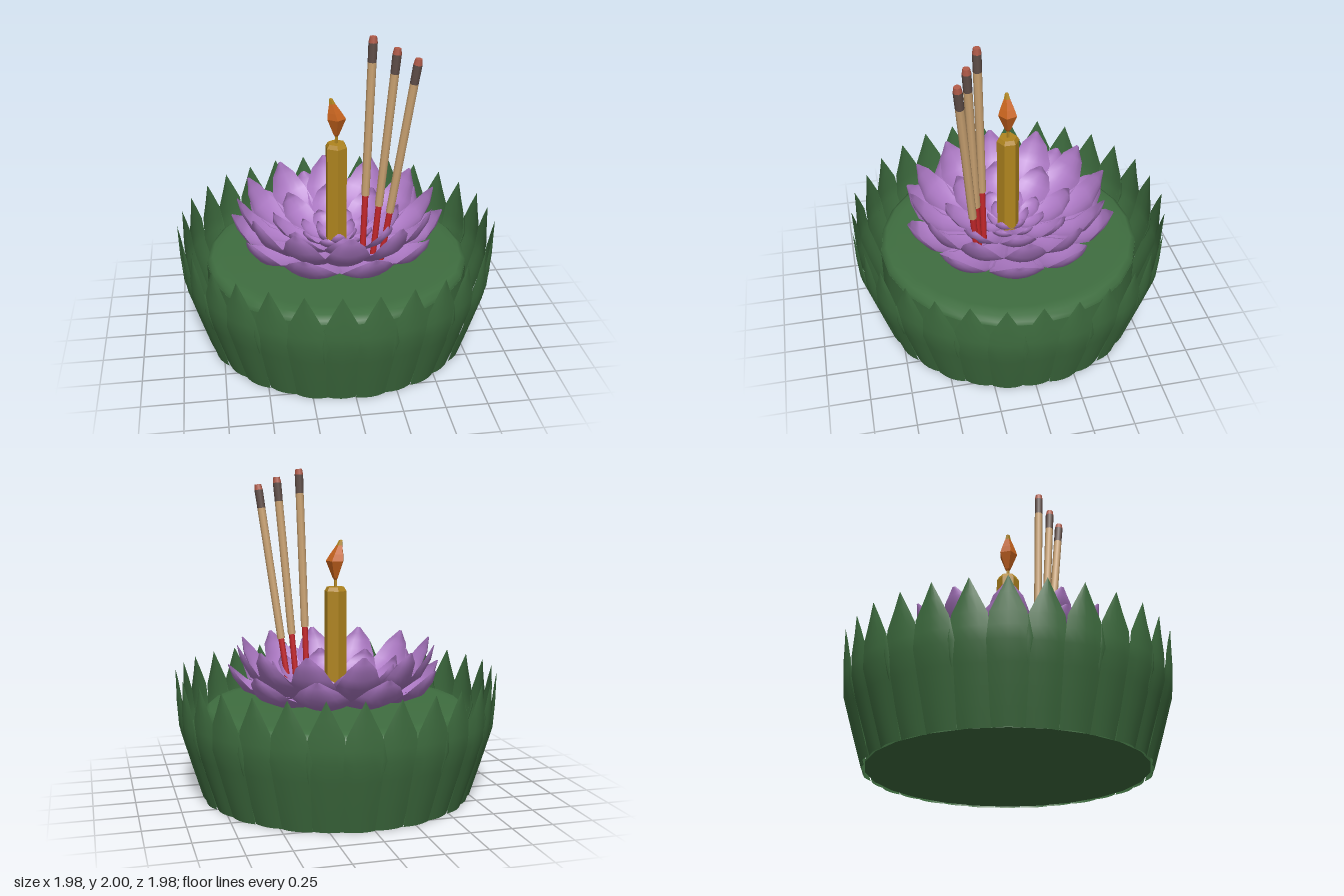
import * as THREE from 'three';

const mat = (name, color, side = THREE.FrontSide, flatShading = false) => {
  const m = new THREE.MeshStandardMaterial({ color, side, flatShading });
  m.name = name;
  return m;
};

// Grid surface from a rule: t runs along the length, s runs -1..1 across.
function sheet(rows, cols, rule) {
  const pos = [], idx = [];
  for (let i = 0; i <= rows; i++)
    for (let j = 0; j <= cols; j++) pos.push(...rule(i / rows, (j / cols) * 2 - 1));
  for (let i = 0; i < rows; i++)
    for (let j = 0; j < cols; j++) {
      const a = i * (cols + 1) + j, b = a + cols + 1;
      idx.push(a, a + 1, b, a + 1, b + 1, b);
    }
  const g = new THREE.BufferGeometry();
  g.setAttribute('position', new THREE.Float32BufferAttribute(pos, 3));
  g.setIndex(idx);
  g.computeVertexNormals();
  return g;
}

// Linear lookup in a short list of [y, radius, halfWidth] stations.
function station(list, t) {
  const f = t * (list.length - 1), i = Math.min(Math.floor(f), list.length - 2);
  return list[i].map((v, k) => v + (list[i + 1][k] - v) * (f - i));
}

export function createModel() {
  const model = new THREE.Group();
  model.name = 'floatingFlowerBasket';
  const green = mat('leaf green', 0x3f6e40, THREE.DoubleSide);
  const purple = mat('petal purple', 0xae7ac6, THREE.DoubleSide);
  const gold = mat('candle gold', 0xb0851f, THREE.FrontSide, true);
  const orange = mat('flame orange', 0xc8641e, THREE.FrontSide, true);
  const tan = mat('incense tan', 0xcda574);
  const red = mat('stick red', 0xc8282c);
  const char = mat('incense char', 0x62504a);
  const ember = mat('ember', 0xb05a48);

  const add = (name, geo, material, parent = model) => {
    const m = new THREE.Mesh(geo, material);
    m.name = name;
    parent.add(m);
    return m;
  };
  const V2 = (x, y) => new THREE.Vector2(x, y);
  const deg = Math.PI / 180;

  // Drum with a softly rounded top
  add('base', new THREE.CylinderGeometry(0.825, 0.825, 0.49, 24), green).position.y = 0.255;
  add('baseTop', new THREE.LatheGeometry(
    [V2(0.825, 0.49), V2(0.82, 0.525), V2(0.79, 0.548), V2(0.72, 0.556), V2(0, 0.56)], 24), green);

  // Ring of pointed leaves
  const leafRows = [[0.005, 0.848, 0.087], [0.21, 0.912, 0.1], [0.43, 0.978, 0.113],
    [0.58, 0.99, 0.098], [0.78, 0.995, 0]];
  const leafGeo = sheet(8, 4, (t, s) => {
    const [y, r, w] = station(leafRows, t);
    return [s * w, y, r - 0.018 * s * s * Math.min(1, w / 0.08)];
  });
  const foldRows = [[0.31, 0.935, 0], [0.44, 0.974, 0.026], [0.57, 0.98, 0]];
  const foldGeo = sheet(2, 2, (t, s) => {
    const [y, r, w] = station(foldRows, t);
    return [s * w, y, r - 0.008 * Math.abs(s)];
  });
  const leaves = new THREE.Group();
  leaves.name = 'leafRing';
  model.add(leaves);
  for (let i = 0; i < 30; i++) {
    const leaf = add('leaf', leafGeo, green, leaves);
    leaf.rotation.y = (6 + 12 * i) * deg;
    if (i % 2) {
      leaf.scale.set(0.992, 1, 0.992);
    } else {
      add('leafFold', foldGeo, green, leaves).rotation.y = (12 + 12 * i) * deg;
    }
  }

  // Blossom: rings of cupped petals, path = [y, radius, halfWidth] from root to tip
  const petalRings = [
    { n: 10, turn: 12, path: [[0.57, 0.1, 0.04], [0.575, 0.28, 0.1], [0.6, 0.46, 0.16],
      [0.65, 0.58, 0.165], [0.73, 0.64, 0.11], [0.81, 0.67, 0.012]] },
    { n: 12, turn: 0, path: [[0.58, 0.1, 0.03], [0.6, 0.25, 0.08], [0.65, 0.42, 0.13],
      [0.74, 0.54, 0.13], [0.85, 0.6, 0.085], [0.94, 0.62, 0.01]] },
    { n: 8, turn: 0, path: [[0.59, 0.07, 0.03], [0.61, 0.16, 0.07], [0.64, 0.26, 0.11],
      [0.7, 0.35, 0.115], [0.77, 0.4, 0.075], [0.83, 0.4, 0.01]] },
    { n: 8, turn: 22.5, path: [[0.6, 0.05, 0.02], [0.615, 0.1, 0.04], [0.63, 0.15, 0.062],
      [0.66, 0.2, 0.065], [0.7, 0.23, 0.045], [0.73, 0.225, 0.006]] },
    { n: 6, turn: 0, path: [[0.61, 0.04, 0.02], [0.625, 0.08, 0.04], [0.65, 0.115, 0.05],
      [0.69, 0.135, 0.035], [0.72, 0.13, 0.005]] },
  ];
  const blossom = new THREE.Group();
  blossom.name = 'blossom';
  model.add(blossom);
  petalRings.forEach(({ n, turn, path }, k) => {
    const geo = sheet((path.length - 1) * 2, 6, (t, s) => {
      const [y, r, w] = station(path, t);
      const cup = 0.35 * w * s * s;
      return [s * w, y + cup * (1 - 0.6 * t), r - cup * t];
    });
    for (let i = 0; i < n; i++) {
      const petal = add('petal', geo, purple, blossom);
      petal.rotation.y = (turn + (360 / n) * i) * deg;
      // slight variation between neighbours
      if (k === 0) petal.scale.setScalar(1 - 0.015 * ((i * 3) % 4 === 1 ? 1 : 0));
    }
  });

  // Candle, wick and flame
  add('candle', new THREE.LatheGeometry(
    [V2(0.07, 0.55), V2(0.07, 1.255), V2(0.055, 1.28), V2(0, 1.28)], 6), gold);
  add('wick', new THREE.CylinderGeometry(0.009, 0.011, 0.08, 5), gold).position.y = 1.31;
  // bend the flame tip toward -x
  const bend = (geo) => {
    const p = geo.attributes.position;
    for (let i = 0; i < p.count; i++) {
      const lift = Math.max(0, p.getY(i) - 1.44) / 0.13;
      p.setX(i, p.getX(i) - 0.035 * lift);
    }
    geo.computeVertexNormals();
    return geo;
  };
  add('flame', bend(new THREE.LatheGeometry(
    [V2(0, 1.31), V2(0.018, 1.335), V2(0.06, 1.44), V2(0.045, 1.48), V2(0.02, 1.535)], 5)), orange);
  add('flameTip', bend(new THREE.LatheGeometry(
    [V2(0.02, 1.535), V2(0.012, 1.565), V2(0, 1.57)], 5)), gold);

  // Incense sticks: foot, tip and height where the red handle ends
  const sticks = [
    { foot: [0.138, 0.58, 0.183], tip: [0.18, 2.0, 0.212], handle: 1.01 },
    { foot: [0.195, 0.58, 0.222], tip: [0.305, 1.95, 0.292], handle: 0.96 },
    { foot: [0.243, 0.58, 0.245], tip: [0.412, 1.905, 0.36], handle: 0.93 },
  ];
  const up = new THREE.Vector3(0, 1, 0);
  for (const { foot, tip, handle } of sticks) {
    const a = new THREE.Vector3(...foot), b = new THREE.Vector3(...tip);
    const length = a.distanceTo(b);
    const stick = new THREE.Group();
    stick.name = 'incenseStick';
    stick.position.copy(a);
    stick.quaternion.setFromUnitVectors(up, b.clone().sub(a).normalize());
    model.add(stick);
    const part = (name, y0, y1, r0, r1, material) => {
      add(name, new THREE.CylinderGeometry(r1, r0, y1 - y0, 8), material, stick).position.y = (y0 + y1) / 2;
    };
    const split = handle - 0.58;
    part('stickHandle', 0, split, 0.019, 0.019, red);
    part('incenseBody', split, length - 0.15, 0.025, 0.026, tan);
    part('charredEnd', length - 0.15, length - 0.035, 0.026, 0.027, char);
    part('glowingTip', length - 0.035, length, 0.027, 0.021, ember);
  }
  return model;
}
